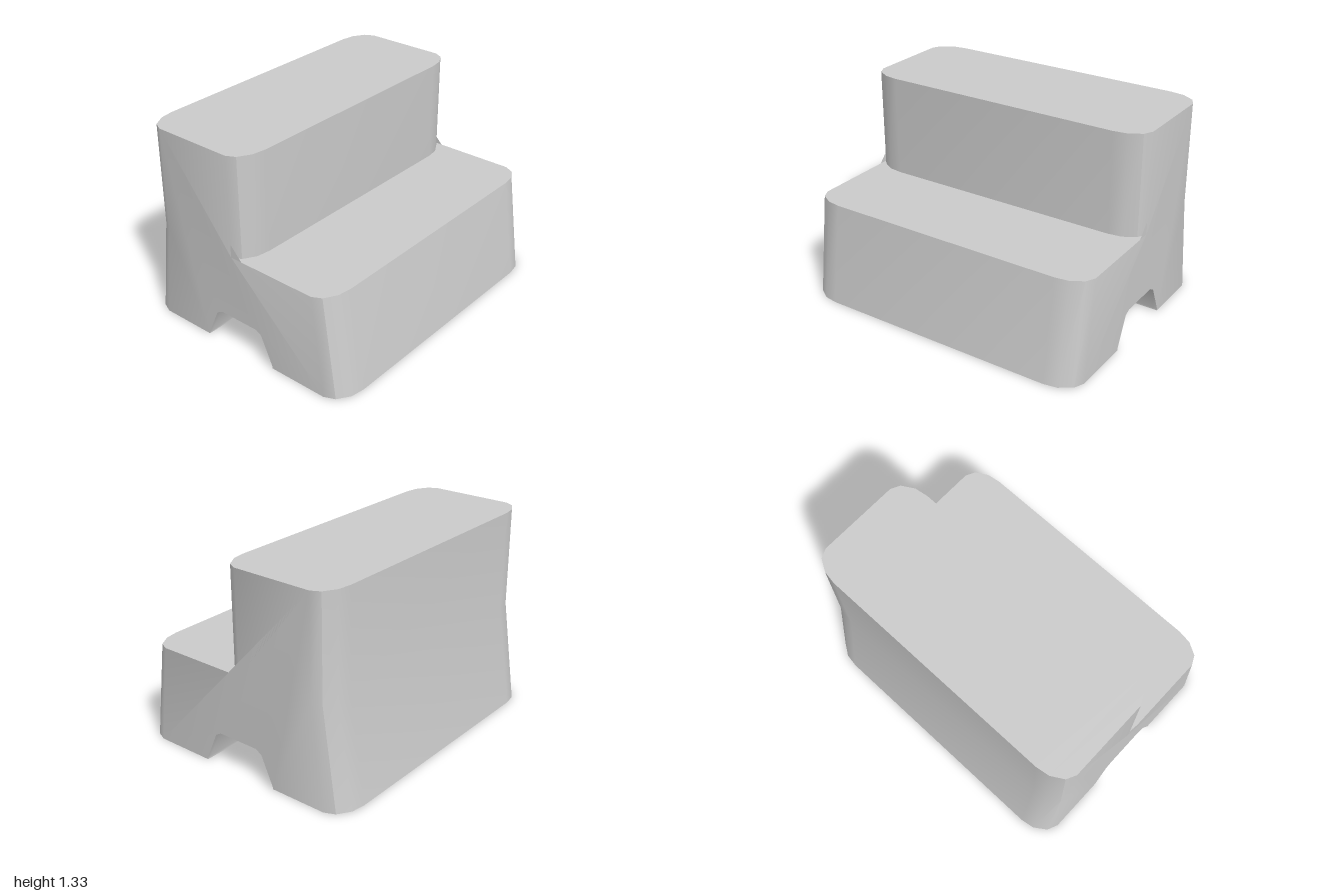
import * as THREE from 'three';
import { toCreasedNormals } from 'three/addons/utils/BufferGeometryUtils.js';

// Outline of the stool seen from the front, with the channel underneath
const PROFILE = [
  [-0.8, 0], [-0.28, 0], [-0.28, 0.012], [-0.195, 0.2], [-0.15, 0.225],
  [0.135, 0.225], [0.175, 0.203], [0.26, 0.015], [0.26, 0],
  [0.8, 0], [0.7, 0.663], [0.08, 0.663], [0.08, 1.33], [-0.7, 1.33], [-0.7, 0.663],
];

// Depth of each cross-section and how far its outer edges are drawn in
const DEPTHS = [-1, -0.97, -0.89, -0.8, 0.8, 0.89, 0.97, 1];
const INSETS = [0.12, 0.06, 0.013, 0, 0, 0.013, 0.06, 0.12];

function createBody() {
  const shape = new THREE.Shape(PROFILE.map(([x, y]) => new THREE.Vector2(x, y)));
  const steps = DEPTHS.length - 1;
  const geometry = new THREE.ExtrudeGeometry(shape, { depth: steps, steps, bevelEnabled: false });

  // Round the upright corners, leaving the channel straight
  const p = geometry.attributes.position;
  for (let i = 0; i < p.count; i++) {
    const x = p.getX(i), y = p.getY(i), layer = Math.round(p.getZ(i));
    if (y > 0.6 || Math.abs(x) > 0.5) {
      const flare = y < 0.1 ? 0.8 / 0.7 : 1;
      p.setX(i, x - Math.sign(x) * INSETS[layer] * flare);
    }
    p.setZ(i, DEPTHS[layer]);
  }
  return toCreasedNormals(geometry, THREE.MathUtils.degToRad(30));
}

export function createModel() {
  const model = new THREE.Group();
  model.name = 'stepStool';
  const body = new THREE.Mesh(createBody(), new THREE.MeshStandardMaterial({ color: 0xcccccc }));
  body.name = 'twoStepBody';
  model.add(body);
  return model;
}
